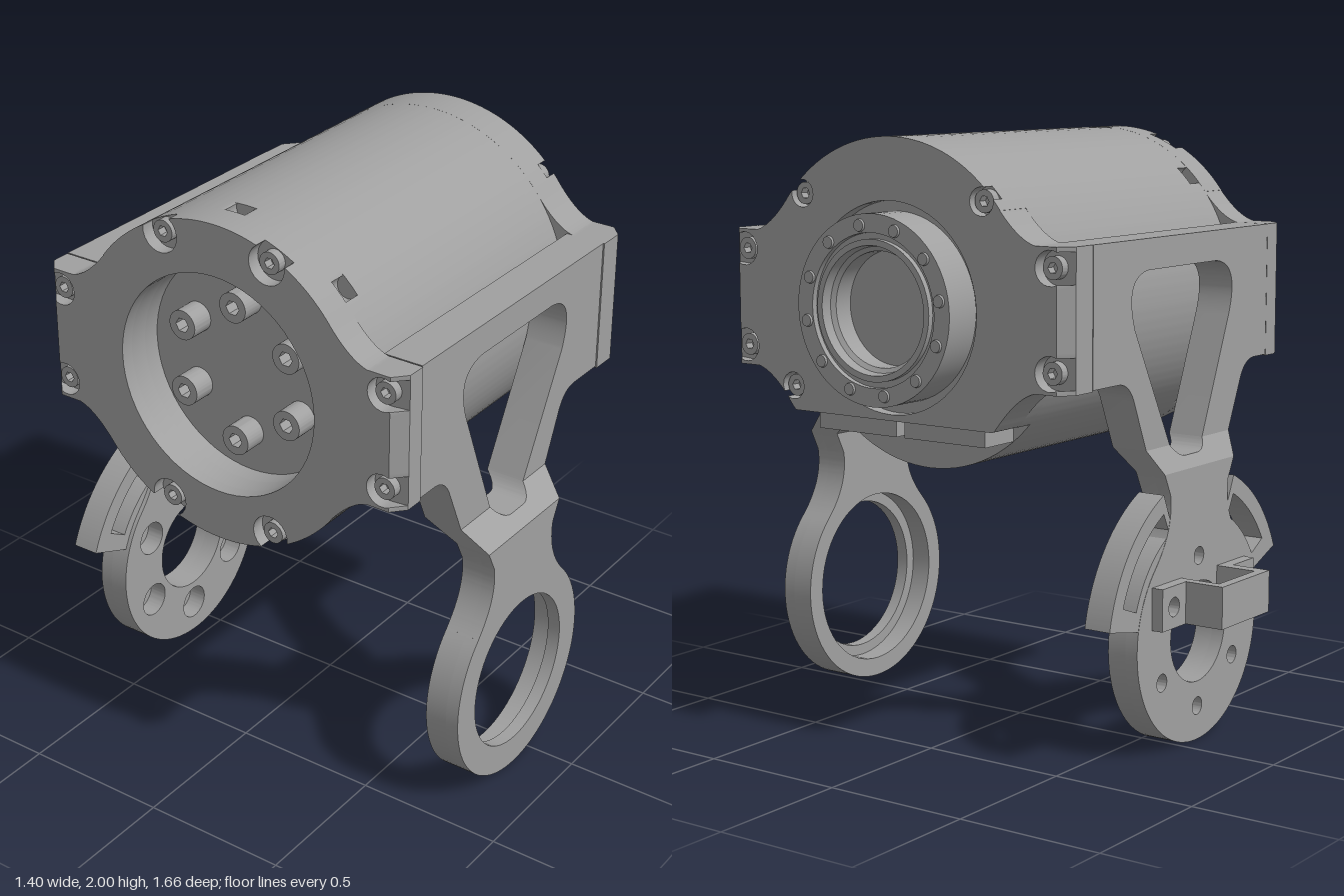
import * as THREE from 'three';
import { toCreasedNormals } from 'three/addons/utils/BufferGeometryUtils.js';

const CY = 1.46, CZ = 0.07;      // motor axis (runs along x)
const RX = -0.095, RY = 0.375;   // pivot ring centre
const EARS = [[0.615, 0.16], [0.615, -0.16], [-0.615, 0.16], [-0.615, -0.16]];
const DEG = Math.PI / 180;

export function createModel() {
  const model = new THREE.Group();
  const metal = new THREE.MeshStandardMaterial({ color: 0xa0a0a0 });
  metal.name = 'grey metal';

  function add(name, geo, parent = model) {
    const mesh = new THREE.Mesh(geo, metal);
    mesh.name = name;
    parent.add(mesh);
    return mesh;
  }
  function extrude(shape, z0, z1, rule) {
    const g = new THREE.ExtrudeGeometry(shape, { depth: z1 - z0, bevelEnabled: false, curveSegments: 32 });
    g.translate(0, 0, z0);
    if (rule) {
      const p = g.attributes.position;
      for (let i = 0; i < p.count; i++) p.setXYZ(i, ...rule(p.getX(i), p.getY(i), p.getZ(i)));
    }
    return toCreasedNormals(g, 0.5);
  }
  const circle = (x, y, r) => new THREE.Path().absarc(x, y, r, 0, Math.PI * 2, true);
  // Profile seen from +x, extruded along the motor axis
  const axial = (shape, x0, x1, rule) => extrude(shape, x0, x1, rule).rotateY(Math.PI / 2).translate(0, CY, CZ);

  // ---- Profiles across the motor axis ----
  function dense(path) {
    const src = path.getPoints(48), out = [];
    src.forEach((p, i) => {
      const q = src[(i + 1) % src.length], n = Math.ceil(p.distanceTo(q) / 0.012);
      for (let k = 0; k < n; k++) out.push(p.clone().lerp(q, k / n));
    });
    return out;
  }
  // Cut a round bite out of the edge of a counter-clockwise outline
  function notch(pts, x, y, r) {
    const inside = p => Math.hypot(p.x - x, p.y - y) < r, n = pts.length;
    const s = pts.findIndex((p, i) => inside(p) && !inside(pts[(i + n - 1) % n]));
    if (s < 0) return pts;
    let e = s;
    while (inside(pts[e % n])) e++;
    const ang = p => Math.atan2(p.y - y, p.x - x);
    const a0 = ang(pts[(s + n - 1) % n]);
    let a1 = ang(pts[e % n]);
    while (a1 > a0) a1 -= Math.PI * 2;
    const arc = [];
    for (let k = 0; k <= 14; k++) {
      const a = a0 + (a1 - a0) * k / 14;
      arc.push(new THREE.Vector2(x + r * Math.cos(a), y + r * Math.sin(a)));
    }
    return [...pts.slice(0, s), ...arc, ...pts.slice(e)];
  }
  function profile(path, { bites = [], floor = -1, bore = 0 } = {}) {
    let pts = dense(path);
    for (const b of bites) pts = notch(pts, ...b);
    pts.forEach(p => { p.y = Math.max(p.y, floor); });
    const s = new THREE.Shape(pts);
    if (bore) s.holes.push(circle(0, 0, bore));
    return s;
  }
  const round = () => new THREE.Path().absarc(0, 0, 0.54, 0.01, Math.PI * 2 + 0.009, false);
  function eared(e) {
    const a = Math.atan2(0.325, 0.43), p = new THREE.Path();
    p.moveTo(e, -0.225).lineTo(e, 0.225).lineTo(0.56, 0.225);
    p.quadraticCurveTo(0.5, 0.24, 0.43, 0.325).absarc(0, 0, 0.54, a, Math.PI - a, false);
    p.quadraticCurveTo(-0.5, 0.24, -0.56, 0.225).lineTo(-e, 0.225).lineTo(-e, -0.225).lineTo(-0.56, -0.225);
    p.quadraticCurveTo(-0.5, -0.24, -0.43, -0.325).absarc(0, 0, 0.54, Math.PI + a, Math.PI * 2 - a, false);
    p.quadraticCurveTo(0.5, -0.24, 0.56, -0.225);
    return p;
  }
  // Chamfer: widen the ears at the inner end of the outer layer
  const chamfer = inner => (x, y, z) =>
    [Math.abs(z - inner) < 1e-4 && Math.abs(x) > 0.635 ? Math.sign(x) * 0.68 : x, y, z];

  // ---- Motor body ----
  const pockets = [45, 90, 135, 225, 270, 315].map(a => [0.525 * Math.cos(a * DEG), 0.525 * Math.sin(a * DEG), 0.038]);
  add('bodyRearEnd', axial(profile(round(), { bites: pockets, bore: 0.37 }), -0.59, -0.53));
  add('body', axial(profile(round()), -0.53, 0.41));
  add('bodyFrontEnd', axial(profile(round(), { floor: -0.36 }), 0.41, 0.47));

  // ---- End caps ----
  const rimR = [[0.36, 0.35], [-0.36, 0.35], [0.41, -0.28], [-0.41, -0.28]];
  const rimL = [[0.2, 0.46], [-0.2, 0.46], [0.2, -0.46], [-0.2, -0.46]];
  const bites = (list, r) => list.map(([x, y]) => [x, y, r]);
  add('hubCapBase', axial(profile(eared(0.68), { floor: -0.36 }), 0.47, 0.56));
  add('hubCapFace', axial(profile(eared(0.64), {
    floor: -0.36, bore: 0.34, bites: [...bites(EARS, 0.055), ...bites(rimR, 0.045)],
  }), 0.56, 0.605, chamfer(0.56)));
  add('rotorCapBase', axial(profile(eared(0.68), { bore: 0.37 }), -0.655, -0.59));
  add('rotorCapFace', axial(profile(eared(0.64), {
    bore: 0.37, bites: [...bites(EARS, 0.055), ...bites(rimL, 0.065)],
  }), -0.7, -0.655, chamfer(-0.655)));

  // ---- Socket screws ----
  function screw(name, x, y, r, x0, x1) {
    const s = new THREE.Shape().absarc(x, y, r, 0, Math.PI * 2);
    const hex = [];
    for (let k = 5; k >= 0; k--) hex.push(new THREE.Vector2(x + r * 0.5 * Math.cos(k * 60 * DEG), y + r * 0.5 * Math.sin(k * 60 * DEG)));
    s.holes.push(new THREE.Path(hex));
    add(name, axial(s, x0, x1));
  }
  for (const [x, y] of [...EARS, ...rimR]) screw('hubCapScrew', x, y, 0.036, 0.56, 0.59);
  for (const [x, y] of [...EARS, ...rimL]) screw('rotorCapScrew', x, y, 0.036, -0.685, -0.655);
  for (let k = 0; k < 6; k++) {
    const a = (k * 60 + 30) * DEG;
    screw('rotorScrew', 0.23 * Math.cos(a), 0.23 * Math.sin(a), 0.05, -0.61, -0.53);
  }

  // ---- Hub with bearing lips and its ring of bolts ----
  const hubPts = [[0.305, 0.56], [0.305, 0.695], [0.245, 0.695], [0.245, 0.675], [0.225, 0.675], [0.225, 0.695],
    [0.205, 0.695], [0.2, 0.66], [0.185, 0.65], [0.185, 0.58], [0, 0.58]].map(p => new THREE.Vector2(...p));
  const hub = toCreasedNormals(new THREE.LatheGeometry(hubPts, 64).toNonIndexed(), 0.5);
  add('hub', hub.rotateZ(-Math.PI / 2).translate(0, CY, CZ));
  for (let k = 0; k < 12; k++) {
    const a = (k * 30 + 10) * DEG;
    const bolt = new THREE.CylinderGeometry(0.019, 0.022, 0.012, 16).rotateZ(-Math.PI / 2);
    add('hubBolt', bolt.translate(0.697, CY + 0.27 * Math.sin(a), CZ - 0.27 * Math.cos(a)));
  }

  // ---- Connectors under the hub cap ----
  for (const z of [0.247, -0.108]) {
    const rect = (C, w, h) => new C().moveTo(-w, -h).lineTo(w, -h).lineTo(w, h).lineTo(-w, h).lineTo(-w, -h);
    const s = rect(THREE.Shape, 0.075, 0.161);
    s.holes.push(rect(THREE.Path, 0.055, 0.14));
    add('connectorShell', extrude(s, 0, 0.06).rotateX(Math.PI / 2).translate(0.485, 1.1, z));
    for (const d of [-0.08, 0, 0.08])
      add('connectorPin', new THREE.CylinderGeometry(0.018, 0.018, 0.05, 12).translate(0.485, 1.077, z + d));
  }

  // ---- Mounting arms ----
  const upper = new THREE.Shape();
  upper.moveTo(-0.585, 1.685).lineTo(-0.585, 1.24).lineTo(-0.51, 1.24);
  upper.quadraticCurveTo(-0.45, 1.24, -0.42, 1.18).lineTo(-0.345, 1.01).lineTo(-0.175, 1.01).lineTo(-0.335, 1.4);
  upper.quadraticCurveTo(-0.4, 1.57, -0.25, 1.585).lineTo(0.16, 1.585).quadraticCurveTo(0.3, 1.57, 0.235, 1.4);
  upper.lineTo(0.025, 1.01).lineTo(0.165, 1.01).lineTo(0.24, 1.18).quadraticCurveTo(0.27, 1.24, 0.33, 1.24);
  upper.lineTo(0.47, 1.24).lineTo(0.47, 1.685);
  const mid = new THREE.Shape();
  mid.moveTo(-0.345, 1.01).lineTo(RX - 0.215, 0.93).lineTo(RX + 0.215, 0.93).lineTo(0.165, 1.01).lineTo(0.025, 1.01);
  mid.quadraticCurveTo(0, 0.97, -0.04, 0.97).lineTo(-0.11, 0.97).quadraticCurveTo(-0.155, 0.97, -0.175, 1.01);
  function ringPlate(hole, screwR) {
    const s = new THREE.Shape();
    s.moveTo(RX - 0.215, 0.93).lineTo(RX - 0.18, 0.86).quadraticCurveTo(RX - 0.16, 0.745, RX - 0.262, 0.637);
    s.absarc(RX, RY, 0.37, 135 * DEG, 405 * DEG, false);
    s.quadraticCurveTo(RX + 0.16, 0.745, RX + 0.18, 0.86).lineTo(RX + 0.215, 0.93);
    s.holes.push(circle(RX, RY, hole));
    for (let k = 0; screwR && k < 6; k++) {
      const a = (30 + k * 60) * DEG;
      s.holes.push(circle(RX + 0.255 * Math.cos(a), RY + 0.255 * Math.sin(a), screwR));
    }
    return s;
  }
  // top = z range of the upper plate, low = z range of the ring, layers = ring slices [shape, z0, z1]
  function arm(name, top, low, layers) {
    const g = new THREE.Group();
    g.name = name;
    model.add(g);
    add('armPlate', extrude(upper, ...top), g);
    add('armStep', extrude(mid, 0, 1, (x, y, z) => {
      const t = (1.01 - y) / 0.08, at = r => r[0] + z * (r[1] - r[0]);
      return [x, y, at(top) + t * (at(low) - at(top))];
    }), g);
    for (const [shape, z0, z1] of layers) add('armRing', extrude(shape, z0, z1), g);
    return g;
  }
  arm('frontArm', [0.61, 0.745], [0.71, 0.83],
    [[ringPlate(0.267), 0.785, 0.83], [ringPlate(0.305), 0.71, 0.785]]);
  const back = arm('backArm', [-0.612, -0.485], [-0.655, -0.545],
    [[ringPlate(0.17, 0.06), -0.61, -0.545], [ringPlate(0.17, 0.03), -0.655, -0.61]]);

  // Slotted sector wings beside the back ring
  function sector(C, r0, r1, a0, a1) {
    return new C().absarc(RX, RY, r1, a0 * DEG, a1 * DEG, false).absarc(RX, RY, r0, a1 * DEG, a0 * DEG, true).closePath();
  }
  for (const [a0, a1, b0, b1] of [[11, 66, 20, 63], [114, 158, 117, 150]]) {
    const wing = sector(THREE.Shape, 0.36, 0.537, a0, a1);
    wing.holes.push(sector(THREE.Path, 0.4, 0.48, b0, b1));
    add('sectorWing', extrude(wing, -0.654, -0.56), back);
  }

  // Hat-shaped strap on the back ring, with holed feet
  const strap = new THREE.Shape([[-0.25, 0.655], [-0.25, 0.832], [0.05, 0.832], [0.05, 0.655], [0.015, 0.655],
    [0.015, 0.798], [-0.21, 0.798], [-0.21, 0.655]].map(p => new THREE.Vector2(...p)));
  add('strap', extrude(strap, 0, 0.14).rotateX(-Math.PI / 2).translate(0, 0.435, 0), back);
  for (const [x0, x1] of [[-0.385, -0.25], [0.05, 0.19]]) {
    const foot = new THREE.Shape().moveTo(x0, 0.435).lineTo(x1, 0.435).lineTo(x1, 0.575).lineTo(x0, 0.575);
    foot.holes.push(circle((x0 + x1) / 2, 0.505, 0.032));
    add('strapFoot', extrude(foot, -0.695, -0.655), back);
  }
  return model;
}
